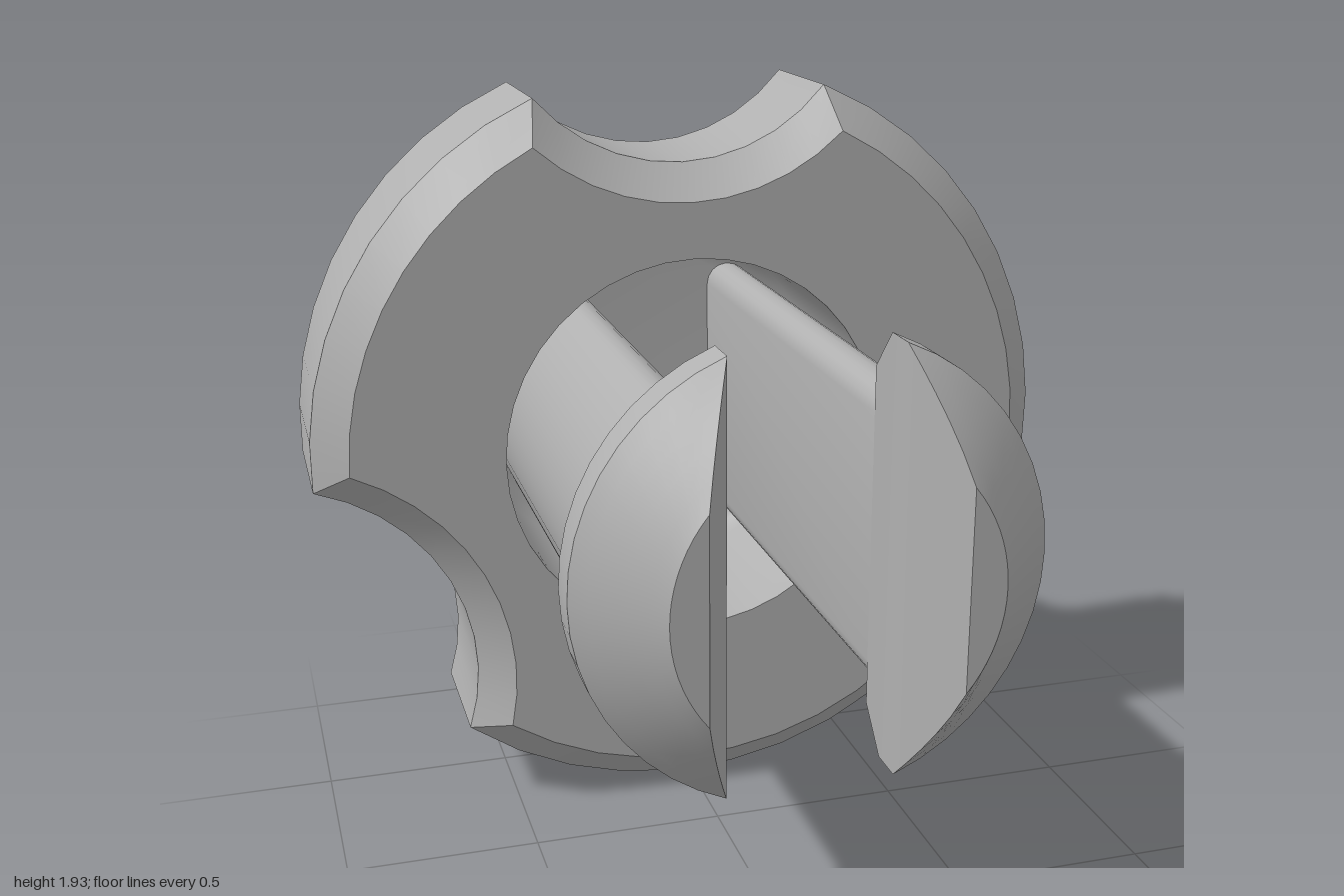
import * as THREE from 'three';
import { toCreasedNormals } from 'three/addons/utils/BufferGeometryUtils.js';

const V = (x, y) => new THREE.Vector2(x, y);

// points along an arc, both ends included
function arc(cx, cy, r, from, to, n) {
  return Array.from({ length: n + 1 }, (_, i) => {
    const a = from + (to - from) * i / n;
    return V(cx + r * Math.cos(a), cy + r * Math.sin(a));
  });
}

const circle = (r, n = 40) => arc(0, 0, r, 0, Math.PI * 2, n).slice(0, n);

// skin over counter-clockwise sections [z, points], with optional end caps and a round hole in them
function loft(sections, { start = true, end = true, hole = null } = {}) {
  const pos = [];
  const push = (p, z) => pos.push(p.x, p.y, z);
  for (let i = 0; i < sections.length - 1; i++) {
    const [z0, p] = sections[i], [z1, q] = sections[i + 1];
    for (let j = 0; j < p.length; j++) {
      const k = (j + 1) % p.length;
      push(p[j], z0); push(p[k], z0); push(q[k], z1);
      push(p[j], z0); push(q[k], z1); push(q[j], z1);
    }
  }
  const cap = ([z, pts], flip) => {
    const holes = hole ? [hole.slice().reverse()] : [];
    const all = [pts, ...holes].flat();
    for (const f of THREE.ShapeUtils.triangulateShape(pts.slice(), holes)) {
      for (const v of flip ? [f[2], f[1], f[0]] : f) push(all[v], z);
    }
  };
  if (start) cap(sections[0], true);
  if (end) cap(sections[sections.length - 1], false);
  const g = new THREE.BufferGeometry();
  g.setAttribute('position', new THREE.Float32BufferAttribute(pos, 3));
  return toCreasedNormals(g, 0.6);
}

// disc outline with three scooped grips, shrunk by an inset
const grips = [[1.07, -0.52, 0.43], [-0.015, 1.245, 0.5], [-1.157, -0.6, 0.562]];
function knobOutline(inset) {
  const r = 1 - inset;
  const cuts = grips.map(([x, y, gr]) => {
    const R = gr + inset, D = Math.hypot(x, y);
    let a = Math.atan2(y, x);
    if (a < -Math.PI / 2) a += Math.PI * 2;
    const h = Math.acos((D * D + r * r - R * R) / (2 * D * r));
    const k = Math.atan2(r * Math.sin(h), D - r * Math.cos(h));
    return { x, y, R, a, h, k };
  });
  return cuts.flatMap((c, i) => {
    const next = cuts[(i + 1) % 3];
    const nextA = next.a + (i === 2 ? Math.PI * 2 : 0);
    const scoop = arc(c.x, c.y, c.R, c.a + Math.PI + c.k, c.a + Math.PI - c.k, 10);
    const rim = arc(0, 0, r, c.a + c.h, nextA - next.h, 9);
    return [...scoop, ...rim.slice(1, -1)];
  });
}

// half-round leg section with rounded inner corners
function stemSection() {
  const R = 0.46, f = 0.06, cx = 0.2 + f;
  const cy = Math.sqrt((R - f) ** 2 - cx * cx), t = Math.atan2(cy, cx);
  return [
    ...arc(0, 0, R, -t, t, 14),
    ...arc(cx, cy, f, t, Math.PI, 6).slice(1),
    ...arc(cx, -cy, f, Math.PI, Math.PI * 2 - t, 6).slice(0, -1),
  ];
}

// circle segment to the right of x = cut
function segment(r, cut) {
  const t = Math.acos(cut / r);
  return arc(0, 0, r, -t, t, 18);
}

export function createModel() {
  const model = new THREE.Group();
  model.name = 'clipKnob';
  const grey = new THREE.MeshStandardMaterial({ color: 0xb0b0b0 });
  grey.name = 'grey plastic';
  const body = new THREE.Group();
  body.name = 'knobAssembly';
  body.position.y = 1;
  model.add(body);
  const add = (name, geometry, parent = body) => {
    const m = new THREE.Mesh(geometry, grey);
    m.name = name;
    parent.add(m);
  };

  // chamfered knob disc, bored through
  const bore = 0.51;
  const wide = knobOutline(0), narrow = knobOutline(0.09);
  add('knobDisc', loft([[-0.75, narrow], [-0.66, wide], [-0.29, wide], [-0.2, narrow]],
    { hole: circle(bore) }));

  // socket wall and floor with a rounded bottom edge
  const socket = [[-0.2, circle(bore)]];
  for (let i = 0; i <= 5; i++) {
    const a = i / 5 * Math.PI / 2;
    socket.push([-0.7 - 0.09 * Math.sin(a), circle(bore - 0.09 + 0.09 * Math.cos(a))]);
  }
  add('socket', loft(socket, { start: false }));

  // rear cap with a rounded edge on a conical collar
  const rear = [];
  for (let i = 0; i <= 5; i++) {
    const a = i / 5 * Math.PI / 2;
    rear.push([-0.87 - 0.06 * Math.cos(a), circle(0.49 + 0.06 * Math.sin(a))]);
  }
  rear.push([-0.84, circle(0.55)]);
  add('rearCap', loft(rear, { end: false }));
  add('rearCollar', loft([[-0.84, circle(0.56)], [-0.75, circle(0.65)]], { end: false }));

  // two snap legs with barbed heads
  const stem = stemSection();
  const head = [[0.57, segment(0.46, 0.2)], [0.66, segment(0.55, 0.2)]];
  for (let i = 0; i <= 5; i++) {
    const t = i / 5;
    head.push([0.75 + 0.18 * t, segment(0.55 - 0.175 * t, 0.2 + 0.09 * t)]);
  }
  const stemGeometry = loft([[-0.79, stem], [0.57, stem]]);
  const headGeometry = loft(head);
  ['leftLeg', 'rightLeg'].forEach((name, i) => {
    const leg = new THREE.Group();
    leg.name = name;
    leg.rotation.z = i * Math.PI;
    add(name + 'Stem', stemGeometry, leg);
    add(name + 'Head', headGeometry, leg);
    body.add(leg);
  });
  return model;
}
